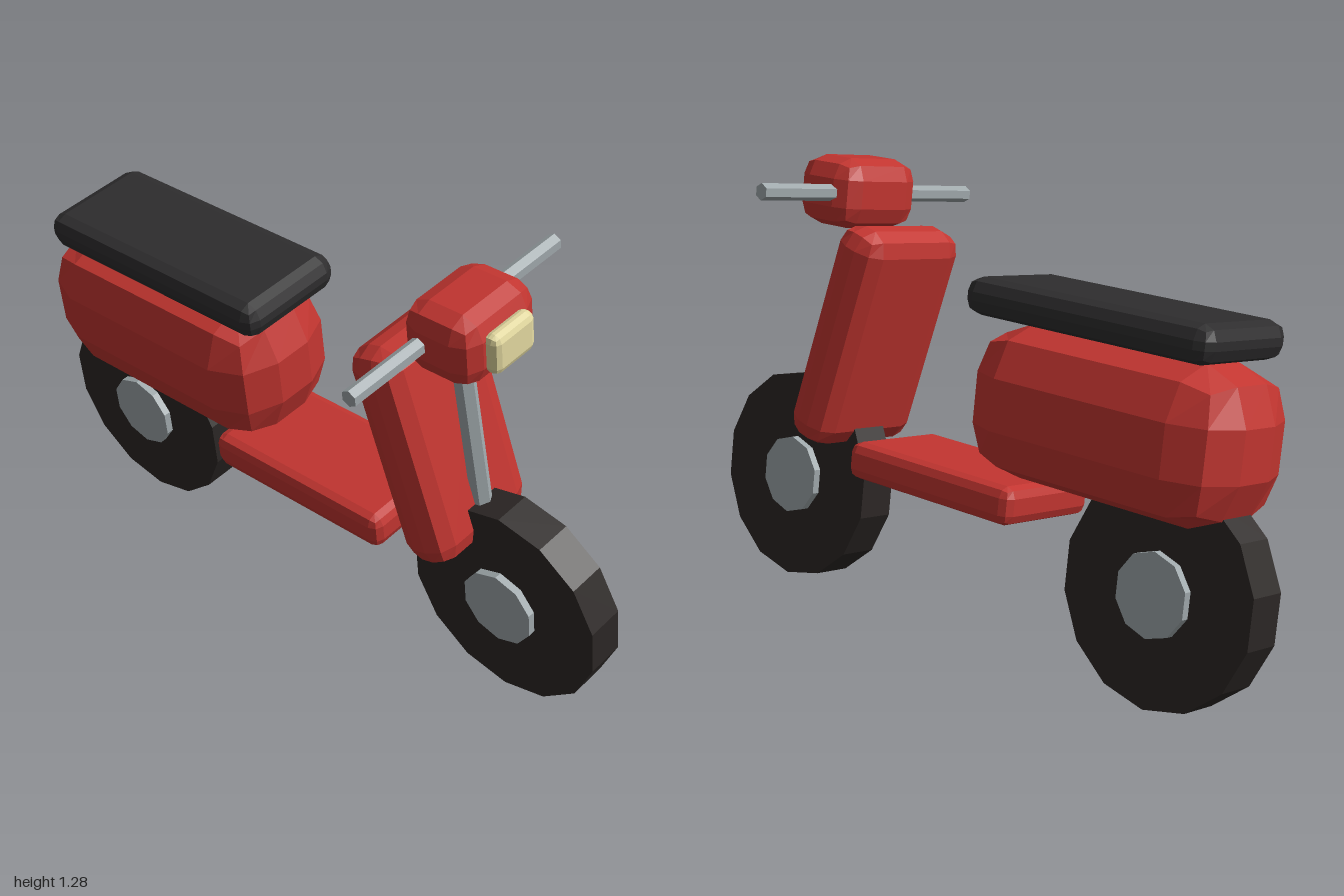
import * as THREE from 'three';

const paint = (color) => new THREE.MeshStandardMaterial({ color, flatShading: true });

// Box whose edges are rounded by two flat facets
function bevelBox(w, h, d, r) {
  const geo = new THREE.BoxGeometry(1, 1, 1, 3, 3, 3).toNonIndexed();
  const half = new THREE.Vector3(w / 2 - r, h / 2 - r, d / 2 - r);
  const pos = geo.attributes.position;
  const p = new THREE.Vector3();
  const n = new THREE.Vector3();
  const outer = (v) => (Math.abs(v) > 0.3 ? Math.sign(v) : 0);
  for (let i = 0; i < pos.count; i++) {
    p.fromBufferAttribute(pos, i);
    n.set(outer(p.x), outer(p.y), outer(p.z)).normalize().multiplyScalar(r);
    p.set(Math.sign(p.x), Math.sign(p.y), Math.sign(p.z)).multiply(half).add(n);
    pos.setXYZ(i, p.x, p.y, p.z);
  }
  geo.computeVertexNormals();
  return geo;
}

// Faceted cylinder lying along x with a corner at the top
const crossCylinder = (r, length, sides) =>
  new THREE.CylinderGeometry(r, r, length, sides).rotateY(Math.PI / 2).rotateZ(Math.PI / 2);

export function createModel() {
  const model = new THREE.Group();
  model.name = 'scooter';

  const red = paint(0xc23530);
  const tyreBlack = paint(0x2c2725);
  const seatBlack = paint(0x2e2d2e);
  const metal = paint(0x9fa8ab);
  const lampYellow = paint(0xe3d9a0);

  // Everything leans over to one side, pivoting where the tyres touch the ground
  const lean = new THREE.Group();
  lean.name = 'leaningBody';
  lean.position.set(0.16, 0.008, 0);
  lean.rotation.z = 0.139;
  model.add(lean);

  const add = (name, geo, material, y, z, tilt = 0) => {
    const mesh = new THREE.Mesh(geo, material);
    mesh.name = name;
    mesh.position.set(0, y, z);
    mesh.rotation.x = tilt;
    lean.add(mesh);
    return mesh;
  };

  // Wheels
  for (const [end, z] of [['front', 0.7], ['rear', -0.7]]) {
    add(end + 'Tyre', crossCylinder(0.308, 0.113, 14), tyreBlack, 0.308, z);
    add(end + 'Hub', crossCylinder(0.115, 0.157, 10), metal, 0.308, z);
  }

  // Bodywork
  add('rearBody', bevelBox(0.4, 0.42, 0.855, 0.14), red, 0.71, -0.493);
  add('floorboard', bevelBox(0.335, 0.107, 0.625, 0.03), red, 0.438, 0.047);
  add('legShield', bevelBox(0.38, 0.663, 0.16, 0.06), red, 0.771, 0.466, -0.262);
  add('seat', bevelBox(0.345, 0.103, 0.82, 0.04), seatBlack, 0.976, -0.445);

  // Steering
  add('steeringColumn', new THREE.CylinderGeometry(0.03, 0.03, 0.74, 6), metal, 0.8, 0.578, -0.095);
  add('handlebar', crossCylinder(0.024, 0.8, 6), metal, 1.173, 0.543);
  add('headlampHousing', bevelBox(0.29, 0.2, 0.225, 0.06), red, 1.173, 0.587);
  add('headlamp', bevelBox(0.156, 0.114, 0.05, 0.02), lampYellow, 1.172, 0.71);

  return model;
}
